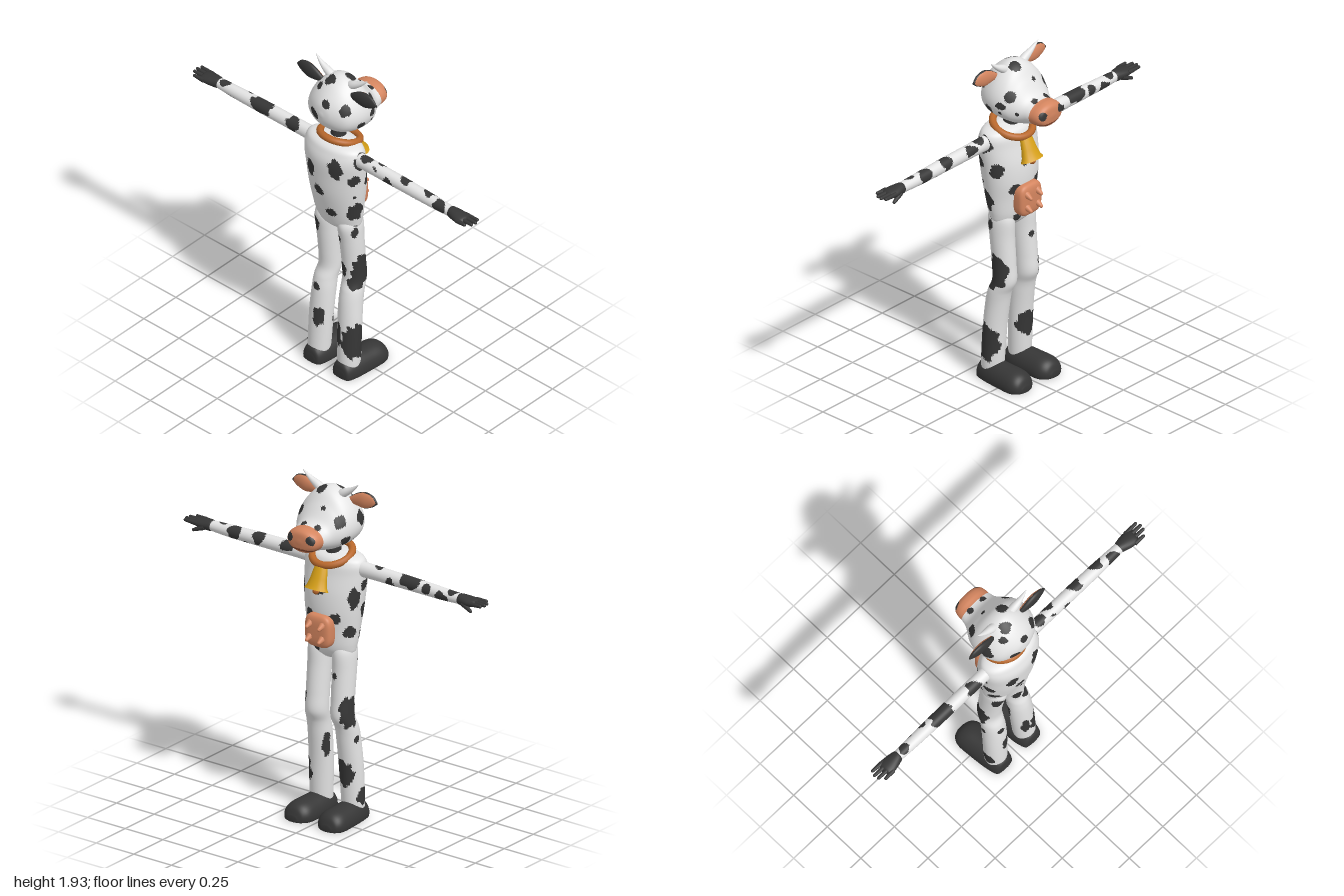
import * as THREE from 'three';

const mat = (name, color, side = THREE.FrontSide) => {
  const m = new THREE.MeshStandardMaterial({ color, side });
  m.name = name;
  return m;
};
const white = mat('white hide', 0xe4e4e4), black = mat('black hide', 0x363636), pink = mat('pink skin', 0xd4855f);
const brown = mat('mouth brown', 0x8a4a30), orange = mat('collar leather', 0xb8682c);
const gold = mat('bell gold', 0xd6a017, THREE.DoubleSide);
const HIDE = [white, black, pink, brown];

// Smooth loft along an axis. Rows are [t, centreU, centreV, radiusU, radiusV],
// with (u, v) = (y, z) for axis x, (z, x) for axis y and (x, y) for axis z.
function loft(name, axis, rows, { n = 60, segs = 48, paint = () => 0, warp } = {}) {
  const mid = new THREE.CatmullRomCurve3(rows.map(r => new THREE.Vector3(r[0], r[1], r[2])), false, 'catmullrom');
  const rad = new THREE.CatmullRomCurve3(rows.map(r => new THREE.Vector3(r[3], r[4], 0)), false, 'catmullrom');
  const pts = [];
  const add = (t, u, v) => {
    const p = axis === 'x' ? new THREE.Vector3(t, u, v) : axis === 'y' ? new THREE.Vector3(v, t, u) : new THREE.Vector3(u, v, t);
    if (warp) warp(p);
    pts.push(p);
  };
  for (let i = 0; i <= n; i++) {
    const c = mid.getPoint(i / n), r = rad.getPoint(i / n);
    for (let j = 0; j < segs; j++) {
      const a = j / segs * Math.PI * 2;
      add(c.x, c.y + r.x * Math.cos(a), c.z + r.y * Math.sin(a));
    }
  }
  const first = rows[0], last = rows[rows.length - 1], end = pts.length;
  add(first[0], first[1], first[2]);
  add(last[0], last[1], last[2]);
  // Each face goes to the list of its colour
  const lists = HIDE.map(() => []);
  const face = (a, b, c) => {
    const m = pts[a].clone().add(pts[b]).add(pts[c]).divideScalar(3);
    lists[paint(m)].push(a, b, c);
  };
  for (let j = 0; j < segs; j++) {
    const k = (j + 1) % segs, top = n * segs;
    for (let i = 0; i < n; i++) {
      const a = i * segs + j, b = i * segs + k;
      face(a, b, a + segs);
      face(b, b + segs, a + segs);
    }
    face(end, k, j);
    face(end + 1, top + j, top + k);
  }
  const g = new THREE.BufferGeometry().setFromPoints(pts);
  g.setIndex(lists.flat());
  let start = 0;
  lists.forEach((l, i) => { if (l.length) g.addGroup(start, l.length, i); start += l.length; });
  g.computeVertexNormals();
  const mesh = new THREE.Mesh(g, HIDE);
  mesh.name = name;
  return mesh;
}

// Spots are [x, y, z, radius, height radius], with a slightly wavy edge
const spotted = spots => p => spots.some(([x, y, z, r, h = r]) => {
  const wave = 1 + 0.12 * Math.sin(p.x * 90 + p.y * 70 + p.z * 80);
  return Math.hypot((p.x - x) / r, (p.y - y) / h, (p.z - z) / r) < wave;
}) ? 1 : 0;

const flip = rows => rows.map(([t, ...r]) => [-t, ...r]).reverse();

// Tapered rod between two points
function rod(name, a, b, r0, r1, material, segs = 12) {
  const p = new THREE.Vector3(...a), q = new THREE.Vector3(...b), d = q.clone().sub(p);
  const g = new THREE.Group();
  const shaft = new THREE.Mesh(new THREE.CylinderGeometry(r1, r0, d.length(), segs), material);
  shaft.position.copy(p).addScaledVector(d, 0.5);
  shaft.quaternion.setFromUnitVectors(new THREE.Vector3(0, 1, 0), d.normalize());
  const tip = new THREE.Mesh(new THREE.SphereGeometry(r1, segs, 8), material);
  tip.position.copy(q);
  g.add(shaft, tip);
  g.name = name;
  return g;
}

const torsoSpots = [
  [-.14, 1.31, .17, .035], [-.03, 1.28, .16, .04], [-.11, 1.08, .16, .05, .062], [-.13, 1.19, .17, .014],
  [-.2, 1.38, .09, .04, .065], [-.1, 1.43, .19, .05], [.04, 1.32, 0, .04, .03], [.02, 1.165, .075, .035],
  [.02, 1.165, -.08, .035], [.01, .98, .05, .025], [-.04, 1.28, -.165, .035, .06], [-.2, 1.2, -.02, .035],
  [-.12, 1.2, -.17, .035, .045], [-.13, 1.06, -.14, .035], [-.21, 1.32, -.08, .035, .05], [-.18, 1.06, .04, .03],
  [-.1, 1.35, -.19, .03], [-.03, 1.09, -.14, .035], [.02, 1.02, -.1, .012], [-.1, .95, .14, .025]];
const legSpots = {
  1: [[-.045, .67, .15, .065, .1], [-.09, .59, .14, .05, .04], [-.11, .23, .15, .075, .11], [-.06, .4, .035, .025, .075],
    [-.1, .93, .14, .022, .032], [-.12, .88, .05, .03], [-.11, .66, .06, .03, .045], [-.16, .25, .07, .025, .08]],
  '-1': [[-.03, .63, -.135, .055, .09], [-.05, .27, -.09, .06, .075], [.015, .835, -.065, .02], [-.13, .9, -.11, .035, .05],
    [-.15, .48, -.1, .024], [-.16, .3, -.07, .035, .06], [-.07, .47, -.16, .02], [-.11, .14, -.16, .04, .05]] };
const armSpots = {
  1: [[-.08, 1.44, .66, .045], [-.09, 1.45, .5, .042], [-.08, 1.45, .31, .05, .025], [-.12, 1.44, .76, .04],
    [-.12, 1.41, .4, .04], [-.1, 1.4, .58, .03], [-.1, 1.48, .23, .035]],
  '-1': [[-.11, 1.45, -.51, .075, .04], [-.07, 1.44, -.62, .03], [-.12, 1.45, -.28, .045], [-.09, 1.41, -.72, .045],
    [-.08, 1.42, -.38, .03], [-.1, 1.46, -.78, .03]] };
const headSpots = [
  [.04, 1.745, .13, .035], [.04, 1.735, -.13, .035], [-.02, 1.87, .03, .033], [-.155, 1.76, .12, .03, .035],
  [-.08, 1.645, .17, .028], [.08, 1.655, .12, .012], [0, 1.65, .165, .011], [0, 1.69, .165, .03, .02],
  [.02, 1.63, -.15, .03], [-.105, 1.87, -.03, .033], [.13, 1.71, -.05, .02], [.13, 1.71, .04, .02],
  [-.1, 1.73, -.17, .04], [-.19, 1.69, -.05, .035], [-.2, 1.78, .02, .025], [-.06, 1.6, -.12, .035],
  [-.14, 1.83, -.08, .025], [.06, 1.8, -.03, .014], [-.02, 1.57, .05, .03],
  [.215, 1.668, .068, .024], [.215, 1.668, -.068, .024]];

export function createModel() {
  const model = new THREE.Group();
  model.name = 'cow';

  // Torso
  model.add(loft('torso', 'y', [
    [.915, 0, -.07, .06, .04], [.95, 0, -.07, .13, .075], [1, 0, -.07, .148, .095], [1.1, 0, -.078, .16, .113],
    [1.2, 0, -.083, .172, .128], [1.3, 0, -.09, .182, .13], [1.4, 0, -.102, .19, .122], [1.46, 0, -.1, .186, .108],
    [1.495, 0, -.1, .155, .085], [1.515, 0, -.1, .06, .03]], { n: 80, segs: 90, paint: spotted(torsoSpots) }));

  // Head with pink muzzle, mouth line and nostrils
  const spots = spotted(headSpots);
  model.add(loft('head', 'x', [
    [-.217, 1.71, 0, .01, .01], [-.205, 1.71, 0, .06, .065], [-.17, 1.71, 0, .11, .13], [-.12, 1.72, 0, .145, .165],
    [-.06, 1.727, 0, .163, .18], [0, 1.715, 0, .155, .172], [.05, 1.685, 0, .125, .145], [.1, 1.657, 0, .088, .113],
    [.14, 1.65, 0, .07, .104], [.18, 1.65, 0, .069, .1], [.205, 1.65, 0, .062, .09], [.22, 1.65, 0, .045, .068],
    [.226, 1.65, 0, .008, .012]], {
    n: 100, segs: 100,
    paint: p => spots(p) || (p.x < .145 ? 0 : p.x > .165 && Math.abs(p.y - 1.607) < .005 ? 3 : 2),
    warp: p => { p.z *= 1 - .25 * (p.y - 1.7) / .16 * THREE.MathUtils.clamp((.14 - p.x) / .1, 0, 1); } }));

  model.add(rod('neck', [-.08, 1.46, 0], [-.07, 1.6, 0], .045, .036, black, 20));

  // Collar and bell
  const collar = new THREE.Mesh(new THREE.TorusGeometry(.108, .02, 12, 40), orange);
  collar.name = 'collar';
  collar.rotation.x = Math.PI / 2;
  const collarTilt = new THREE.Group();
  collarTilt.add(collar);
  collarTilt.position.set(-.065, 1.497, 0);
  collarTilt.rotation.z = -.33;
  model.add(collarTilt);

  const bell = new THREE.Group();
  bell.name = 'bell';
  const profile = [[.001, .14], [.03, .138], [.04, .12], [.05, .06], [.06, .02], [.073, 0]].map(p => new THREE.Vector2(...p).clone());
  const shell = new THREE.Mesh(new THREE.LatheGeometry(profile.reverse(), 16), gold);
  shell.scale.x = .65;
  const clapper = rod('clapper', [0, .12, 0], [0, -.005, 0], .008, .02, orange);
  bell.add(shell, clapper);
  bell.position.set(.075, 1.33, 0);
  bell.rotation.z = .36;
  model.add(bell);

  // Udder with four teats
  const udder = new THREE.Mesh(new THREE.SphereGeometry(1, 40, 28), pink);
  udder.name = 'udder';
  const pos = udder.geometry.attributes.position;
  const box = v => Math.sign(v) * Math.pow(Math.abs(v), .55);
  for (let i = 0; i < pos.count; i++) pos.setXYZ(i, box(pos.getX(i)) * .042, box(pos.getY(i)) * .093, box(pos.getZ(i)) * .084);
  udder.geometry.computeVertexNormals();
  udder.position.set(.042, 1.092, 0);
  model.add(udder);
  for (const y of [1.135, 1.06]) for (const z of [-.04, .04])
    model.add(rod('teat', [.07, y, z], [.105, y - .015, z], .022, .01, pink));

  for (const s of [1, -1]) {
    const side = rows => s > 0 ? rows : flip(rows);

    // Leg and shoe
    model.add(loft('leg', 'y', [
      [.05, .105, -.11, .06, .058], [.1, .105, -.108, .064, .062], [.3, .1, -.098, .068, .063], [.45, .095, -.083, .066, .066],
      [.53, .093, -.068, .064, .066], [.6, .085, -.043, .063, .068], [.7, .083, -.048, .062, .068],
      [.85, .082, -.062, .063, .072], [.95, .08, -.07, .062, .08], [1, .075, -.07, .055, .07]
    ].map(([y, z, ...r]) => [y, z * s, ...r]), { n: 110, segs: 56, paint: spotted(legSpots[s]) }));
    model.add(loft('shoe', 'x', [
      [-.185, .02, .105, .025, .03], [-.172, .02, .105, .068, .058], [-.11, .02, .105, .088, .075], [0, .02, .108, .085, .083],
      [.08, .02, .11, .079, .084], [.122, .02, .112, .056, .064], [.142, .015, .112, .018, .03]
    ].map(([x, y, z, ...r]) => [x, y, z * s, ...r]), { n: 40, segs: 40, paint: () => 1, warp: p => { p.y = Math.max(p.y, 0); } }));

    // Arm, hand, fingers and thumb
    model.add(loft('arm', 'z', side([
      [.13, -.1, 1.435, .042, .047], [.22, -.1, 1.435, .037, .041], [.5, -.1, 1.433, .037, .038], [.7, -.1, 1.43, .034, .034],
      [.84, -.1, 1.43, .029, .028]]), { n: 100, segs: 40, paint: spotted(armSpots[s]) }));
    model.add(loft('hand', 'z', side([
      [.815, -.1, 1.43, .026, .026], [.83, -.1, 1.43, .033, .031], [.88, -.103, 1.43, .044, .027], [.92, -.105, 1.43, .044, .02],
      [.935, -.105, 1.43, .03, .01]]), { n: 20, segs: 24, paint: () => 1 }));
    [[-.146, .96], [-.118, .985], [-.092, .99], [-.067, .98]].forEach(([x, z]) =>
      model.add(rod('finger', [x * .9 - .01, 1.432, .9 * s], [x, 1.435, z * s], .014, .009, black)));
    model.add(rod('thumb', [-.075, 1.42, .86 * s], [-.062, 1.395, .92 * s], .016, .009, black));

    // Ear, pink on its front
    model.add(loft('ear', 'z', side([
      [.1, -.085, 1.82, .012, .014], [.15, -.088, 1.832, .02, .036], [.2, -.088, 1.838, .022, .046],
      [.25, -.088, 1.842, .014, .032], [.28, -.088, 1.838, .004, .006]]),
    { n: 30, segs: 32, paint: p => p.x > -.081 ? 2 : 1 }));

    // Horn curving outward and up
    model.add(loft('horn', 'z', side([
      [.04, -.055, 1.835, .024, .03], [.08, -.055, 1.858, .024, .028], [.12, -.055, 1.88, .018, .02],
      [.155, -.053, 1.905, .01, .012], [.182, -.05, 1.93, .002, .003]]), { n: 24, segs: 20 }));
  }
  return model;
}
